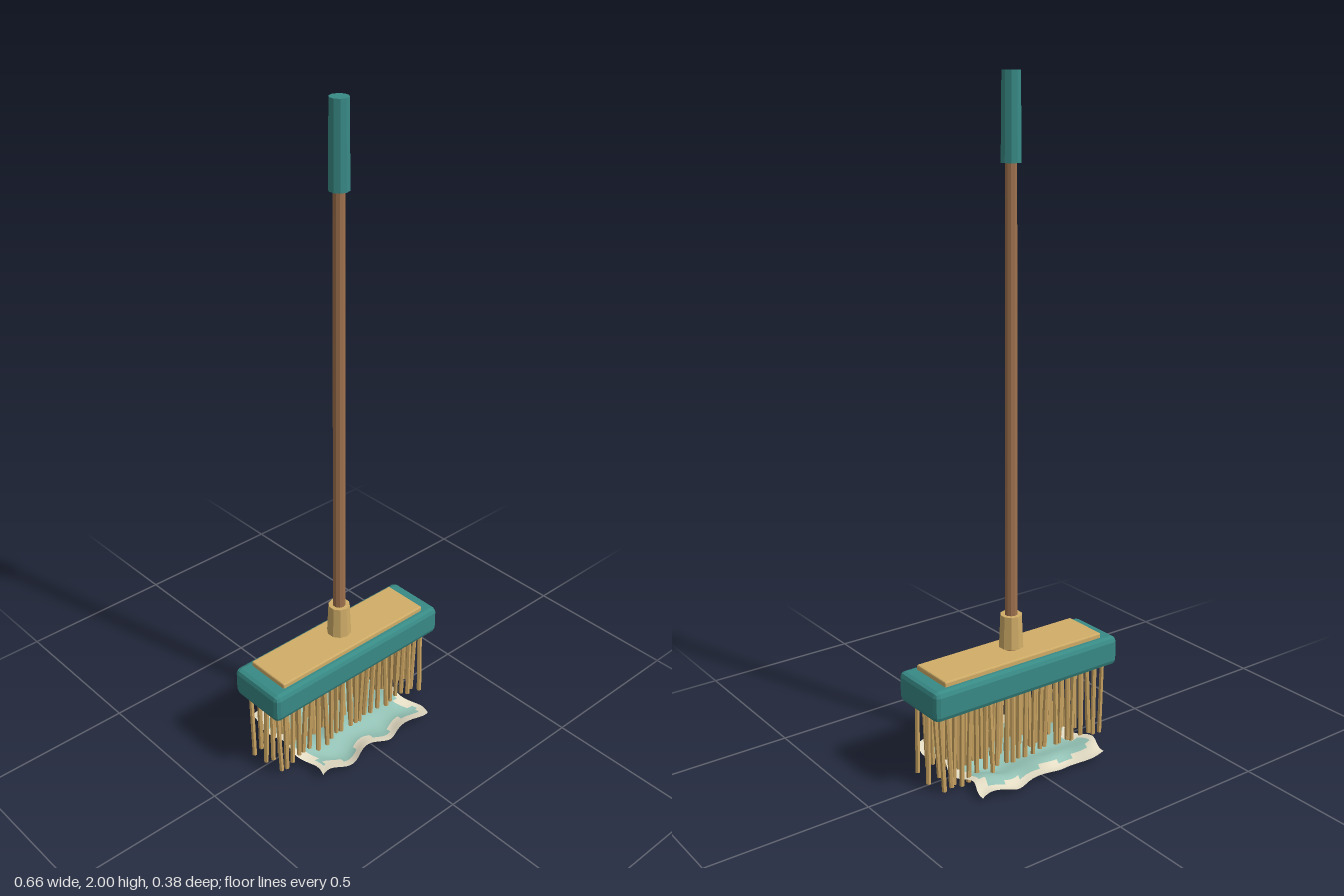
import * as THREE from 'three';
import { RoundedBoxGeometry } from 'three/addons/geometries/RoundedBoxGeometry.js';

const mat = (name, color, extra = {}) => {
  const m = new THREE.MeshStandardMaterial({ color, ...extra });
  m.name = name;
  return m;
};

// Small seeded random function, -1 to 1
let seed = 7;
const rand = () => {
  seed = (seed * 16807) % 2147483647;
  return (seed / 2147483647) * 2 - 1;
};

export function createModel() {
  const model = new THREE.Group();
  model.name = 'broom';
  const flat = { flatShading: true };
  const teal = mat('teal paint', 0x388a86, flat);
  const tan = mat('tan wood', 0xd0ad68, flat);
  const brown = mat('brown pole wood', 0xa0714e, flat);
  const straw = mat('straw', 0xcba562, flat);
  const mint = mat('mint cloth', 0x96c5b8, { side: THREE.DoubleSide });
  const cream = mat('cream cloth border', 0xeee6cd, { side: THREE.DoubleSide });

  const add = (name, geometry, material, x = 0, y = 0, z = 0, parent = model) => {
    const mesh = new THREE.Mesh(geometry, material);
    mesh.name = name;
    mesh.position.set(x, y, z);
    parent.add(mesh);
    return mesh;
  };
  const turned = (name, y0, y1, rBottom, rTop, sides, material) =>
    add(name, new THREE.CylinderGeometry(rTop, rBottom, y1 - y0, sides), material, 0, (y0 + y1) / 2);

  // Handle
  turned('pole', 0.34, 1.78, 0.0195, 0.017, 10, brown);
  turned('grip', 1.76, 2.0, 0.0295, 0.027, 10, teal);
  turned('collar', 0.36, 0.46, 0.0375, 0.033, 10, tan);

  // Head
  add('headBlock', new RoundedBoxGeometry(0.664, 0.092, 0.196, 1, 0.016), teal, 0, 0.289);
  add('topPlate', new RoundedBoxGeometry(0.568, 0.03, 0.148, 1, 0.004), tan, 0, 0.335);

  // Three rows of bristles, each leaning slightly about a point near the head
  const bristles = new THREE.Group();
  bristles.name = 'bristles';
  model.add(bristles);
  const perRow = 24;
  for (const z of [-0.06, 0, 0.06]) {
    for (let i = 0; i < perRow; i++) {
      const x = -0.297 + (0.594 * i) / (perRow - 1) + rand() * 0.004;
      const length = 0.247 + rand() * 0.013;
      const geometry = new THREE.CylinderGeometry(0.0075, 0.0075, length, 6);
      geometry.translate(0, 0.055 - length / 2, 0);
      const bristle = add('bristle', geometry, straw, x, 0.21, z + rand() * 0.002, bristles);
      bristle.rotation.set(rand() * 0.045, rand() * 3, rand() * 0.04, 'XZY');
    }
  }

  // Rumpled cloth on the floor
  const nx = 44, nz = 36;
  const cloth = new THREE.PlaneGeometry(0.44, 0.36, nx, nz).rotateX(-Math.PI / 2);
  const flatPos = cloth.attributes.position.clone();
  const pos = cloth.attributes.position;
  const TAU = Math.PI * 2;
  for (let i = 0; i < pos.count; i++) {
    const x = flatPos.getX(i), z = flatPos.getZ(i);
    const edge = Math.max(Math.abs(x) / 0.22, Math.abs(z) / 0.18);
    const y = 0.019 + 0.008 * Math.cos((TAU * (x + 0.02)) / 0.19) + 0.006 * Math.sin((TAU * z) / 0.15)
      + 0.007 * Math.pow(edge, 6);
    pos.setXYZ(i,
      x + 0.011 * Math.cos((TAU * (z - 0.13)) / 0.15),
      Math.max(0, y - 0.003),
      z - 0.01 * Math.cos((TAU * (x + 0.035)) / 0.152));
  }
  cloth.computeVertexNormals();

  // Stepped border between the mint middle and the cream rim
  const inside = [], rim = [];
  const index = cloth.index;
  for (let i = 0; i < index.count; i += 6) {
    const quad = Array.from({ length: 6 }, (_, k) => index.getX(i + k));
    const cx = quad.reduce((s, v) => s + flatPos.getX(v), 0) / 6;
    const cz = quad.reduce((s, v) => s + flatPos.getZ(v), 0) / 6;
    const limitZ = Math.sin((TAU * (cx + 0.13)) / 0.13) > 0 ? 0.15 : 0.13;
    const limitX = Math.sin((TAU * cz) / 0.11) > 0 ? 0.2 : 0.18;
    (Math.abs(cx) < limitX && Math.abs(cz) < limitZ ? inside : rim).push(...quad);
  }
  cloth.setIndex([...inside, ...rim]);
  cloth.clearGroups();
  cloth.addGroup(0, inside.length, 0);
  cloth.addGroup(inside.length, rim.length, 1);
  add('cloth', cloth, [mint, cream]);

  return model;
}
